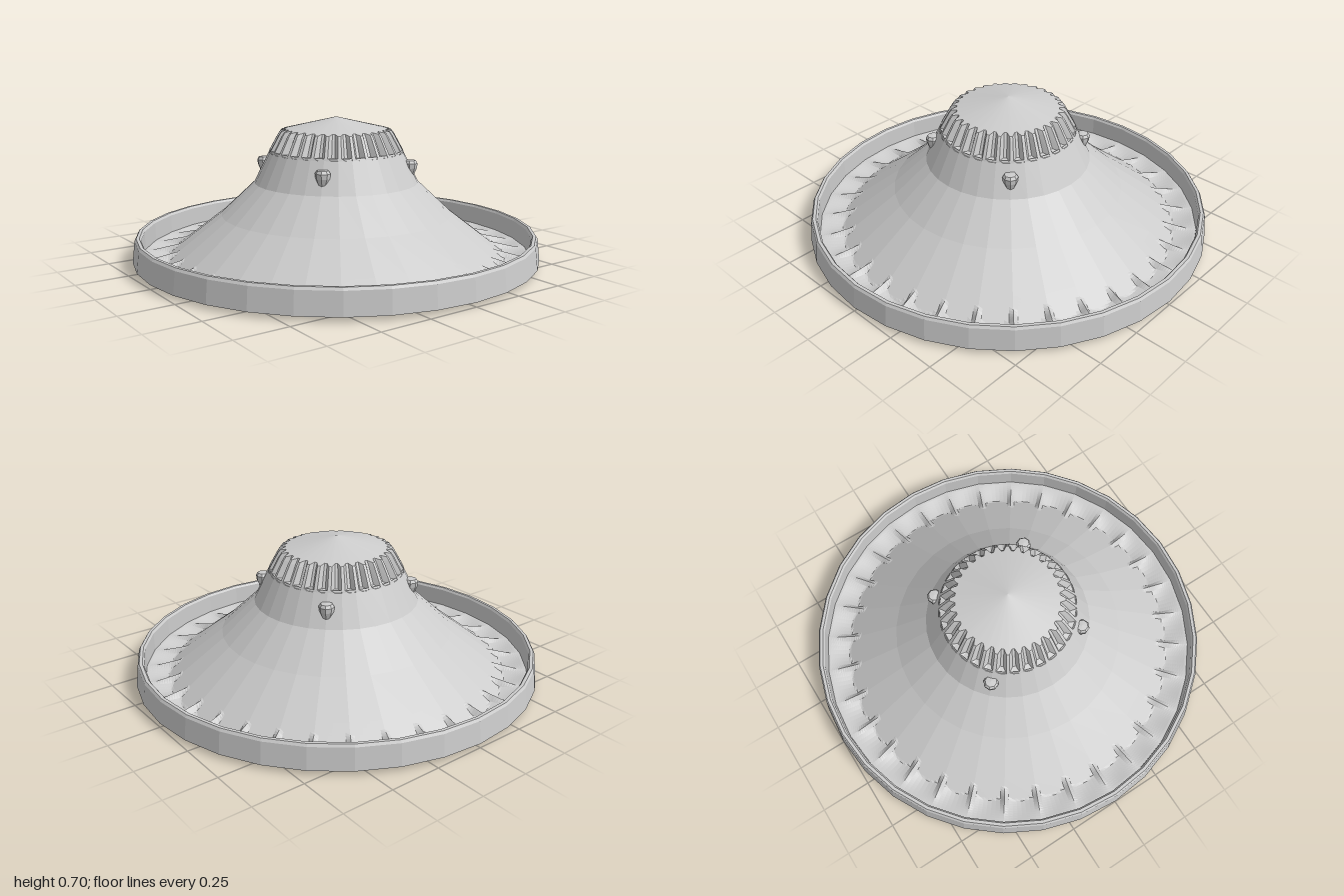
import * as THREE from 'three';

const SIDES = 32;
const STEP = (Math.PI * 2) / SIDES;
const material = new THREE.MeshStandardMaterial({ color: 0xcccccc, flatShading: true });
const lerp = THREE.MathUtils.lerp;

function lathe(name, profile, sides = SIDES) {
  const points = profile.map(([r, y]) => new THREE.Vector2(r, y));
  const mesh = new THREE.Mesh(new THREE.LatheGeometry(points, sides), material);
  mesh.name = name;
  return mesh;
}

// Ring-by-ring surface; rule(ring, column) returns [radius, height]
function ringSurface(name, rings, columns, rule, faceDown = false) {
  const positions = [];
  const index = [];
  for (let i = 0; i <= rings; i++) {
    for (let j = 0; j < columns; j++) {
      const angle = (j / columns) * Math.PI * 2;
      const [r, y] = rule(i, j);
      positions.push(r * Math.sin(angle), y, r * Math.cos(angle));
      if (i === rings) continue;
      const k = (j + 1) % columns;
      const a = i * columns + j, b = a + columns;
      const d = i * columns + k, c = d + columns;
      if (faceDown) index.push(a, c, b, a, d, c);
      else index.push(a, b, c, a, c, d);
    }
  }
  const geometry = new THREE.BufferGeometry();
  geometry.setAttribute('position', new THREE.Float32BufferAttribute(positions, 3));
  geometry.setIndex(index);
  geometry.computeVertexNormals();
  const mesh = new THREE.Mesh(geometry, material);
  mesh.name = name;
  return mesh;
}

export function createModel() {
  const group = new THREE.Group();

  // Upright band around the edge
  group.add(lathe('rim', [
    [0.935, 0.02], [1.0, 0.02], [0.988, 0.125], [0.98, 0.137],
    [0.965, 0.137], [0.957, 0.125], [0.955, 0.02], [0.935, 0.02],
  ]));

  // Flared bell-shaped body
  group.add(lathe('body', [[0.74, 0.094], [0.57, 0.225], [0.405, 0.38], [0.326, 0.54]]));

  // Scalloped floor: shallow cups divided by tapering radial fins
  const PER = 8;
  const sector = (j) => {
    const a = ((j % PER) / PER - 0.5) * STEP;
    return {
      polygon: Math.cos(STEP / 2) / Math.cos(a),
      middle: Math.cos((a / STEP) * Math.PI),
      fromFin: STEP / 2 - Math.abs(a),
    };
  };
  group.add(ringSurface('scallopedFloor', 18, SIDES * PER, (i, j) => {
    const { polygon, middle, fromFin } = sector(j);
    const r = lerp(0.74, 0.955, i / 18);
    const t = THREE.MathUtils.clamp((r - 0.78) / 0.17, 0, 1);
    const cone = 0.094 - (r - 0.74) * 0.77;
    const cup = 0.034 - 0.022 * middle * Math.sin(Math.PI * Math.min(1, 0.25 + 0.75 * t));
    const ridge = lerp(0.064, 0.025, t);
    const fin = ridge - (fromFin * r) * lerp(1.2, 3, t);
    const y = r <= 0.78 ? cone : Math.max(cone, cup, fin);
    return [r * polygon, y];
  }));

  // Closed underside with a ring of low bulges
  group.add(ringSurface('underside', 12, SIDES * PER, (i, j) => {
    const { polygon, middle } = sector(j);
    if (i === 0) return [0, 0.008];
    const t = (i - 1) / 11;
    const base = lerp(0.008, 0.022, t);
    const bulge = Math.sin(Math.PI * t) * Math.max(0, middle * 1.2 - 0.2);
    return [lerp(0.83, 0.955, t) * polygon, base * (1 - bulge)];
  }, true));

  // Fluted crown: teeth alternate between ridges and grooves
  const ridge = [[0, 0.70], [0.272, 0.636], [0.285, 0.618], [0.328, 0.54], [0.332, 0.53]];
  const groove = [[0, 0.70], [0.246, 0.642], [0.262, 0.615], [0.298, 0.538], [0.332, 0.53]];
  group.add(ringSurface('flutedCrown', 4, SIDES * 4, (i, j) =>
    (j % 4 < 2 ? ridge : groove)[i]));

  // Four tapered studs on the diagonals
  for (let k = 0; k < 4; k++) {
    const angle = Math.PI / 4 + (k * Math.PI) / 2;
    const stud = lathe('stud', [
      [0, 0.395], [0.012, 0.402], [0.034, 0.455], [0.037, 0.478], [0.028, 0.492], [0, 0.495],
    ], 8);
    stud.position.set(0.365 * Math.sin(angle), 0, 0.365 * Math.cos(angle));
    stud.rotation.y = angle;
    group.add(stud);
  }

  return group;
}
